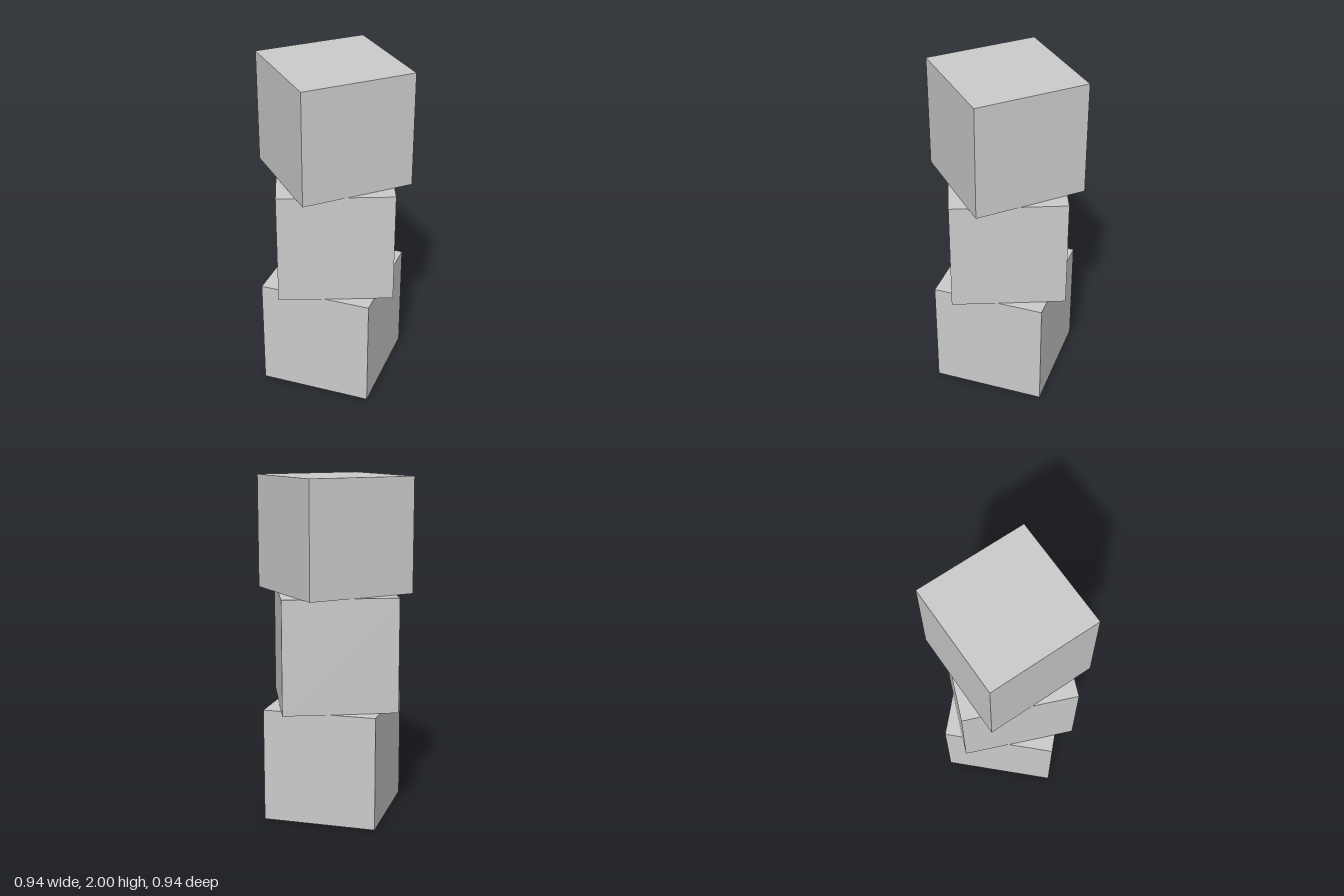
import * as THREE from 'three';

export function createModel() {
  const group = new THREE.Group();
  group.name = 'twistedBlockStack';

  const size = 2 / 3;
  const twist = THREE.MathUtils.degToRad(22);
  const material = new THREE.MeshStandardMaterial({ color: 0xcccccc, flatShading: true });
  const cube = new THREE.BoxGeometry(size, size, size);

  // Three equal cubes, each turned a further step about the vertical axis
  ['bottomBlock', 'middleBlock', 'topBlock'].forEach((name, i) => {
    const block = new THREE.Mesh(cube, material);
    block.name = name;
    block.position.y = size * (i + 0.5);
    block.rotation.y = twist * i;
    group.add(block);
  });

  return group;
}
